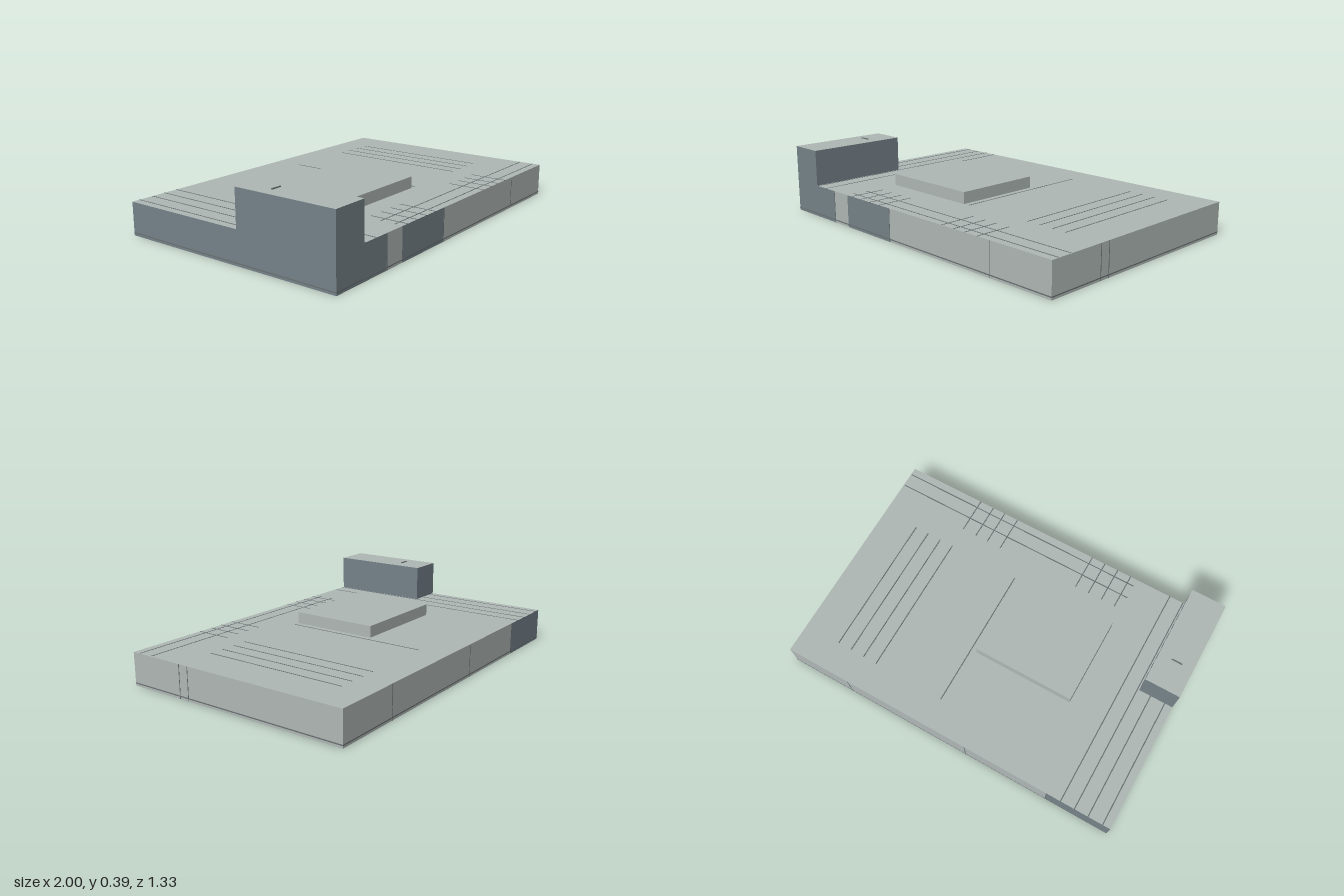
import * as THREE from 'three';

const mat = (name, color) => Object.assign(new THREE.MeshStandardMaterial({ color }), { name });

export function createModel() {
  const group = new THREE.Group();
  const light = mat('light grey', 0xb0b8b6);
  const slate = mat('slate grey', 0x76838a);
  const seam = mat('seam grey', 0x6a7172);

  // Box from its limits; materials in the order +x, -x, +y, -y, +z, -z
  const block = (name, [x0, x1], [y0, y1], [z0, z1], material, parent = group) => {
    const mesh = new THREE.Mesh(new THREE.BoxGeometry(x1 - x0, y1 - y0, z1 - z0), material);
    mesh.position.set((x0 + x1) / 2, (y0 + y1) / 2, (z0 + z1) / 2);
    mesh.name = name;
    parent.add(mesh);
    return mesh;
  };

  const D = 0.665, TOP = 0.182;

  // Base slab, split along its length where the side colour changes
  const base = new THREE.Group();
  base.name = 'base';
  group.add(base);
  const sections = [
    [-1, -0.625, slate, slate],
    [-0.625, -0.5, light, light],
    [-0.5, -0.125, slate, light],
    [-0.125, 1, light, light],
  ];
  sections.forEach(([x0, x1, front, back], i) => {
    block('baseSection' + (i + 1), [x0, x1], [0, TOP], [-D, D],
      [light, slate, light, slate, front, back], base);
  });

  // Raised platform in the middle
  block('platform', [-0.5, 0.085], [TOP, 0.247], [-0.17, 0.333], light);

  // Tall corner block with a light lid and a tiny slot on top
  block('cornerBlock', [-1, -0.8], [TOP, 0.385], [0.08, D],
    [slate, slate, light, slate, slate, slate]);
  block('lidSlot', [-0.935, -0.875], [0.385, 0.39], [0.245, 0.252], seam);

  // Joint lines between the top tiles
  const joints = new THREE.Group();
  joints.name = 'tileJoints';
  group.add(joints);
  const w = 0.003, y = [TOP, TOP + 0.001];
  const alongZ = (xs, z0, z1) =>
    xs.forEach((x) => block('tileJoint', [x - w, x + w], y, [z0, z1], seam, joints));
  alongZ([-0.955, -0.87], -D, 0.08);
  alongZ([-0.79, -0.708], -D, D);
  alongZ([0.12, 0.538, 0.62, 0.703, 0.785], -0.5, 0.33);
  alongZ([-0.458, -0.375, -0.292, -0.21, 0.288, 0.375, 0.452, 0.538], 0.455, D);
  for (const z of [0.538, 0.62])
    block('tileJoint', [-0.5, 0.995], y, [z - w, z + w], seam, joints);

  // Upright joints and a low course line around the sides
  const t = 0.001;
  for (const x of [-0.625, -0.125, 0.62])
    for (const s of [-1, 1])
      block('sideJoint', [x - 0.002, x + 0.002], [0, TOP],
        s > 0 ? [D, D + t] : [-D - t, -D], seam, joints);
  for (const z of [0.333, 0.275])
    block('sideJoint', [1, 1 + t], [0, TOP], [z - 0.002, z + 0.002], seam, joints);
  block('courseLine', [-1 - t, 1 + t], [0.012, 0.018], [-D - t, D + t], seam, joints);

  return group;
}
